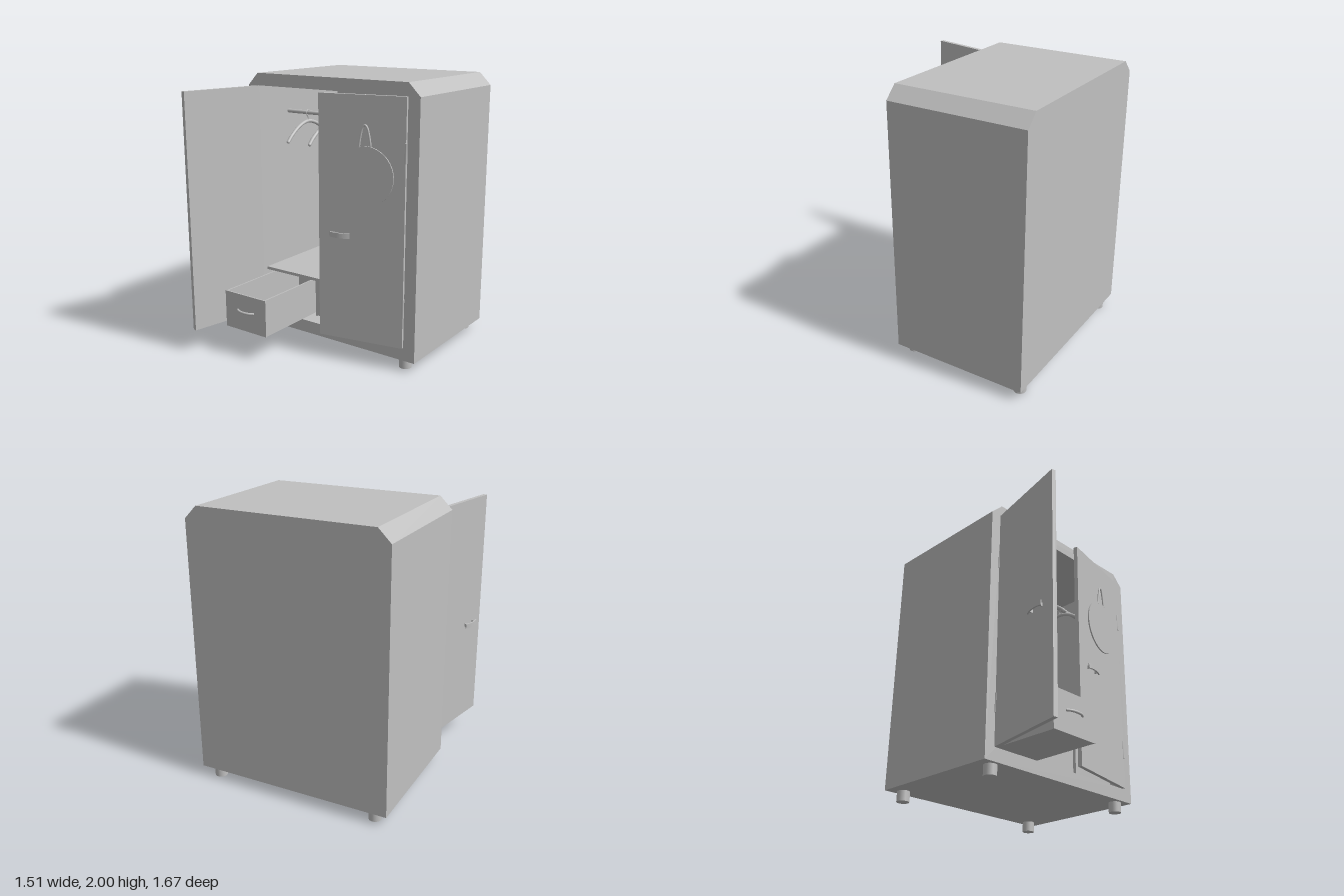
import * as THREE from 'three';

const V = (x, y, z) => new THREE.Vector3(x, y, z);

export function createModel() {
  const grey = new THREE.MeshStandardMaterial({ color: 0xc0c0c0 });
  grey.name = 'warm grey';

  const add = (parent, name, geo, x = 0, y = 0, z = 0) => {
    const m = new THREE.Mesh(geo, grey);
    m.name = name;
    m.position.set(x, y, z);
    parent.add(m);
    return m;
  };
  const box = (parent, name, w, h, d, x, y, z) =>
    add(parent, name, new THREE.BoxGeometry(w, h, d), x, y, z);
  const group = (parent, name, x = 0, y = 0, z = 0) => {
    const g = new THREE.Group();
    g.name = name;
    g.position.set(x, y, z);
    parent.add(g);
    return g;
  };
  // Smooth tube with rounded ends
  const tube = (parent, name, pts, r, n = 24) => {
    const curve = new THREE.CatmullRomCurve3(pts);
    const m = add(parent, name, new THREE.TubeGeometry(curve, n, r, 10));
    for (const p of [pts[0], pts[pts.length - 1]])
      add(m, name + 'End', new THREE.SphereGeometry(r, 10, 8), p.x, p.y, p.z);
    return m;
  };

  const model = new THREE.Group();
  model.name = 'wardrobe';
  const cabinet = group(model, 'cabinet', 0.0155, 0, -0.315);
  cabinet.rotation.y = 0.017;

  // Carcass: chamfered outline with a rectangular opening
  const W = 0.73, D = 0.5075, back = 0.03;
  const outline = new THREE.Shape([
    [-W, 0.075], [W, 0.075], [W, 1.91], [W - 0.09, 2], [-W + 0.09, 2], [-W, 1.91],
  ].map(([x, y]) => new THREE.Vector2(x, y)));
  const solid = outline.clone();
  outline.holes.push(new THREE.Path([
    [-0.64, 0.17], [-0.64, 1.91], [0.64, 1.91], [0.64, 0.17],
  ].map(([x, y]) => new THREE.Vector2(x, y))));
  add(cabinet, 'carcass', new THREE.ExtrudeGeometry(outline,
    { depth: 2 * D - back, bevelEnabled: false }), 0, 0, -D + back);
  add(cabinet, 'backPanel', new THREE.ExtrudeGeometry(solid,
    { depth: back, bevelEnabled: false }), 0, 0, -D);

  // Feet
  for (const x of [-0.62, 0.62])
    for (const z of [-0.44, 0.44])
      add(cabinet, 'foot', new THREE.CylinderGeometry(0.045, 0.045, 0.077, 20), x, 0.0385, z);

  // Shelf and drawer dividers
  box(cabinet, 'shelf', 1.28, 0.022, 0.93, 0, 0.49, -0.013);
  for (const x of [-0.205, 0.205])
    box(cabinet, 'divider', 0.014, 0.31, 0.87, x, 0.325, -0.043);

  // Drawers: the first one is pulled out
  const makeDrawer = (x, frontZ) => {
    const g = group(cabinet, 'drawer', x, 0.19, frontZ);
    const w = 0.37, h = 0.275, d = 0.84, t = 0.01;
    box(g, 'drawerFront', w + 0.012, h, t, 0, h / 2, -t / 2);
    box(g, 'drawerBack', w, h, t, 0, h / 2, -d + t / 2);
    box(g, 'drawerBottom', w, t, d - t, 0, t / 2, -(d + t) / 2);
    for (const s of [-1, 1])
      box(g, 'drawerSide', t, h, d - t, s * (w - t) / 2, h / 2, -(d + t) / 2);
    tube(g, 'drawerHandle', [V(-0.073, 0.15, 0), V(-0.045, 0.15, 0.017),
      V(0, 0.15, 0.023), V(0.045, 0.15, 0.017), V(0.073, 0.15, 0)], 0.009);
  };
  makeDrawer(-0.41, 0.963);
  makeDrawer(0, 0.42);
  makeDrawer(0.41, 0.42);

  // Clothes rail with hangers
  const railY = 1.69, railZ = 0.16;
  const rail = add(cabinet, 'rail', new THREE.CylinderGeometry(0.015, 0.015, 1.28, 16), 0, railY, railZ);
  rail.rotation.z = Math.PI / 2;
  for (let i = 0; i < 5; i++) {
    const g = group(cabinet, 'hanger', -0.45 + i * 0.2, railY, railZ);
    tube(g, 'hangerArms', [V(0, -0.195, -0.24), V(0, -0.155, -0.2), V(0, -0.09, -0.1),
      V(0, -0.065, 0), V(0, -0.09, 0.1), V(0, -0.155, 0.2), V(0, -0.195, 0.24)], 0.013, 36);
    tube(g, 'hangerHook', [V(0, -0.065, 0), V(0, -0.035, 0), V(0, -0.015, 0.015),
      V(0, 0.005, 0.021), V(0, 0.021, 0), V(0, 0.005, -0.021), V(0, -0.01, -0.02)], 0.004);
  }

  // Curved bar for the door handles, bowed in plan and extruded upwards
  const bow = new THREE.Shape();
  const R = 0.2, a = 0.39;
  bow.absarc(0, 0, R, Math.PI / 2 - a, Math.PI / 2 + a, false);
  bow.absarc(0, 0, R - 0.011, Math.PI / 2 + a, Math.PI / 2 - a, true);
  const bowGeo = new THREE.ExtrudeGeometry(bow, { depth: 0.036, bevelEnabled: false, curveSegments: 12 });
  bowGeo.rotateX(Math.PI / 2);

  // Doors: side is +1 for the left one in the frame's +x, -1 for the other
  const makeDoor = (side, swing) => {
    const g = group(cabinet, side > 0 ? 'leftDoor' : 'rightDoor', side * 0.638, 0, 0.511);
    g.rotation.y = side * swing;
    box(g, 'doorPanel', 0.632, 1.738, 0.03, -side * 0.316, 1.04, 0);
    for (const y of [0.465, 1.54])
      add(g, 'hinge', new THREE.CylinderGeometry(0.009, 0.009, 0.135, 12), 0, y, 0.012);
    const handle = group(g, 'doorHandle', -side * 0.465, 0.942, 0.015);
    add(handle, 'handleBar', bowGeo, 0, 0.018, 0.042 - R);
    for (const x of [-0.052, 0.052])
      box(handle, 'handlePost', 0.008, 0.024, 0.03, x, 0, 0.012);
    return g;
  };
  makeDoor(-1, 1.773);
  const door = makeDoor(1, 0.193);

  // Round hanging mirror with its strap
  const mirror = group(door, 'mirror', -0.287, 1.365, 0.021);
  const disc = add(mirror, 'mirrorDisc', new THREE.CylinderGeometry(0.207, 0.207, 0.01, 48));
  disc.rotation.x = Math.PI / 2;
  tube(mirror, 'mirrorStrap', [V(-0.043, 0.195, 0), V(-0.032, 0.27, 0), V(-0.016, 0.33, 0),
    V(0, 0.347, 0), V(0.016, 0.33, 0), V(0.032, 0.27, 0), V(0.043, 0.195, 0)], 0.007, 36);

  return model;
}
